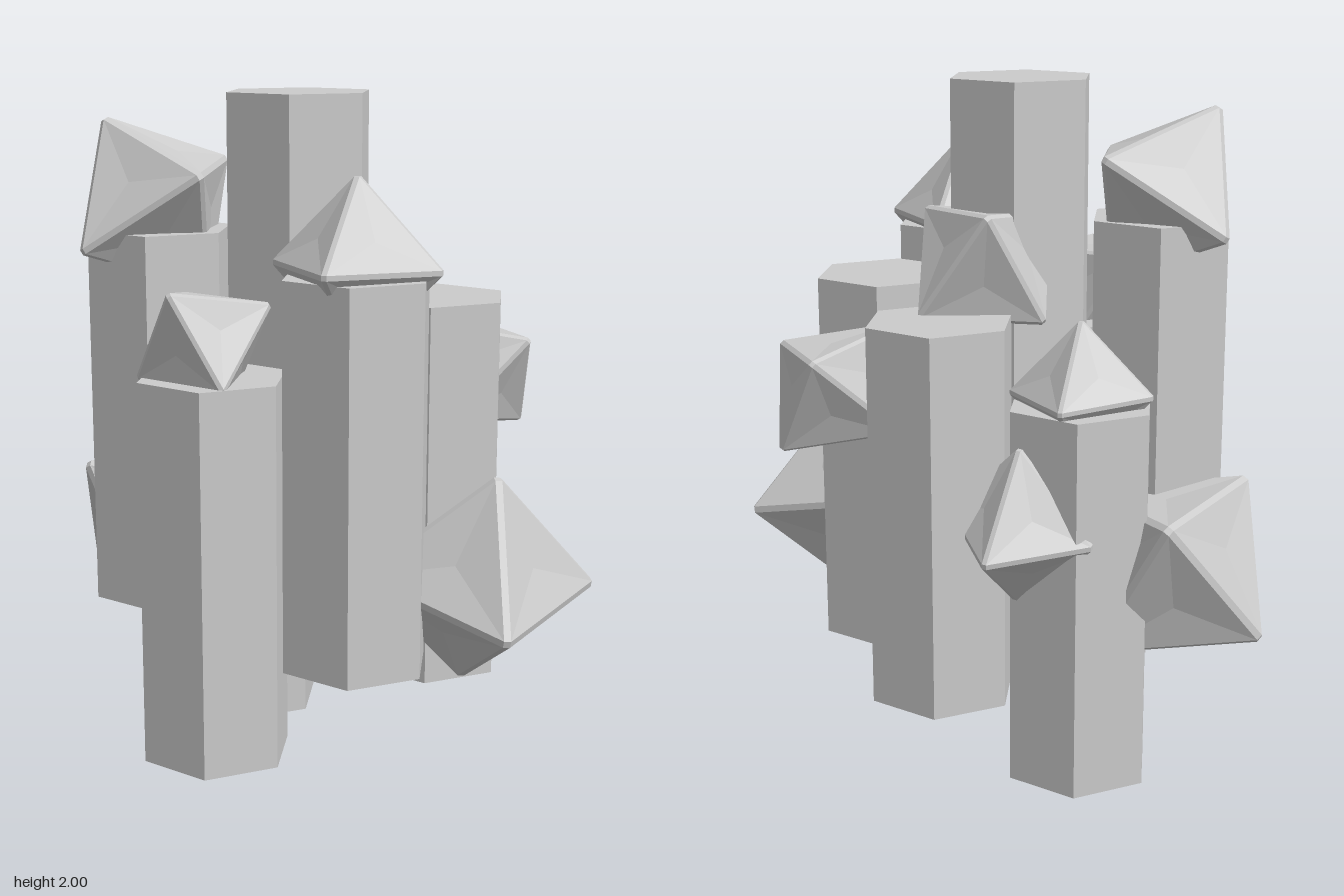
import * as THREE from 'three';
import { ConvexGeometry } from 'three/addons/geometries/ConvexGeometry.js';

const V = (p) => new THREE.Vector3(...p);

// Unit octahedron with narrow bevels along its edges and slightly dished faces
function crystalGeometry(bevel = 0.03, dish = 0.95) {
  const points = [];
  for (const sx of [-1, 1]) for (const sy of [-1, 1]) for (const sz of [-1, 1]) {
    points.push(
      new THREE.Vector3(sx, sy * bevel, sz * bevel),
      new THREE.Vector3(sx * bevel, sy, sz * bevel),
      new THREE.Vector3(sx * bevel, sy * bevel, sz));
  }
  const pos = new ConvexGeometry(points).getAttribute('position');
  const axisOf = (v) => v.toArray().findIndex((n) => Math.abs(n) > 0.5);
  const tris = [];
  for (let i = 0; i < pos.count; i += 3) {
    const t = [0, 1, 2].map((k) => new THREE.Vector3().fromBufferAttribute(pos, i + k));
    if (new Set(t.map(axisOf)).size === 3) {
      // Main face: split around a centre pushed inward
      const mid = t[0].clone().add(t[1]).add(t[2]).multiplyScalar(dish / 3);
      for (let k = 0; k < 3; k++) tris.push(t[k], t[(k + 1) % 3], mid);
    } else tris.push(...t);
  }
  return new THREE.BufferGeometry().setFromPoints(tris);
}

// Places the octahedron so that one face has the three given corners
function placeCrystal(unit, corners) {
  let [a, b, c] = corners.map(V);
  const normal = b.clone().sub(a).cross(c.clone().sub(a)).normalize();
  const middle = a.clone().add(b).add(c).divideScalar(3);
  const edge = (a.distanceTo(b) + b.distanceTo(c) + c.distanceTo(a)) / 3;
  // The outward side is marked by the order of the corners
  const center = middle.addScaledVector(normal, -edge / Math.sqrt(6));
  const axes = [a, b, c].map((p) => p.sub(center));
  const m = new THREE.Matrix4().makeBasis(...axes).setPosition(center);
  const geometry = unit.clone().applyMatrix4(m);
  geometry.computeVertexNormals();
  return geometry;
}

export function createModel() {
  const group = new THREE.Group();
  const material = new THREE.MeshStandardMaterial({ color: 0xcccccc, flatShading: true });

  // Hexagonal columns: x, z, bottom
  const height = 1.12;
  const hex = new THREE.CylinderGeometry(0.223, 0.223, height, 6).rotateY(Math.PI / 6);
  const columns = {
    centerColumn: [0, 0.04, 0.88],
    frontColumn: [-0.002, 0.44, 0.11],
    backColumn: [-0.002, -0.362, 0.23],
    frontLeftColumn: [0.348, 0.24, 0.4],
    backLeftColumn: [0.348, -0.155, 0.295],
    frontRightColumn: [-0.365, 0.237, 0.48],
    backRightColumn: [-0.35, -0.163, 0],
  };
  for (const [name, [x, z, bottom]] of Object.entries(columns)) {
    const mesh = new THREE.Mesh(hex, material);
    mesh.name = name;
    mesh.position.set(x, bottom + height / 2, z);
    group.add(mesh);
  }

  // Crystals: three corners of one outer face, counter-clockwise from outside
  const crystals = {
    frontRightTopCrystal: [[-0.5, 1.915, 0.32], [-0.43, 1.55, 0.5], [-0.13, 1.77, 0.33]],
    frontLeftTopCrystal: [[0.345, 1.79, 0.235], [0.58, 1.54, 0.172], [0.283, 1.54, 0]],
    backLeftCrystal: [[0.235, 1.245, -0.637], [0.2, 1.3, -0.3], [0.48, 1.245, -0.487]],
    backTopCrystal: [[0.09, 1.344, -0.335], [-0.11, 1.637, -0.28], [0.21, 1.62, -0.14]],
    frontTopCrystal: [[-0.015, 1.478, 0.607], [0.137, 1.435, 0.36], [-0.167, 1.435, 0.36]],
    leftSideCrystal: [[0.68, 0.95, 0.02], [0.83, 0.55, 0.207], [0.83, 0.6, -0.27]],
    rightSideCrystal: [[-0.835, 0.45, 0.04], [-0.655, 0.837, 0.27], [-0.67, 0.815, -0.212]],
    backRightCrystal: [[-0.3, 0.74, -0.567], [-0.49, 0.76, -0.32], [-0.28, 1.02, -0.37]],
    backRightTopCrystal: [[-0.352, 1.357, -0.172], [-0.157, 1.14, -0.237], [-0.412, 1.14, -0.367]],
  };
  const unit = crystalGeometry();
  for (const [name, corners] of Object.entries(crystals)) {
    const mesh = new THREE.Mesh(placeCrystal(unit, corners), material);
    mesh.name = name;
    group.add(mesh);
  }
  return group;
}
